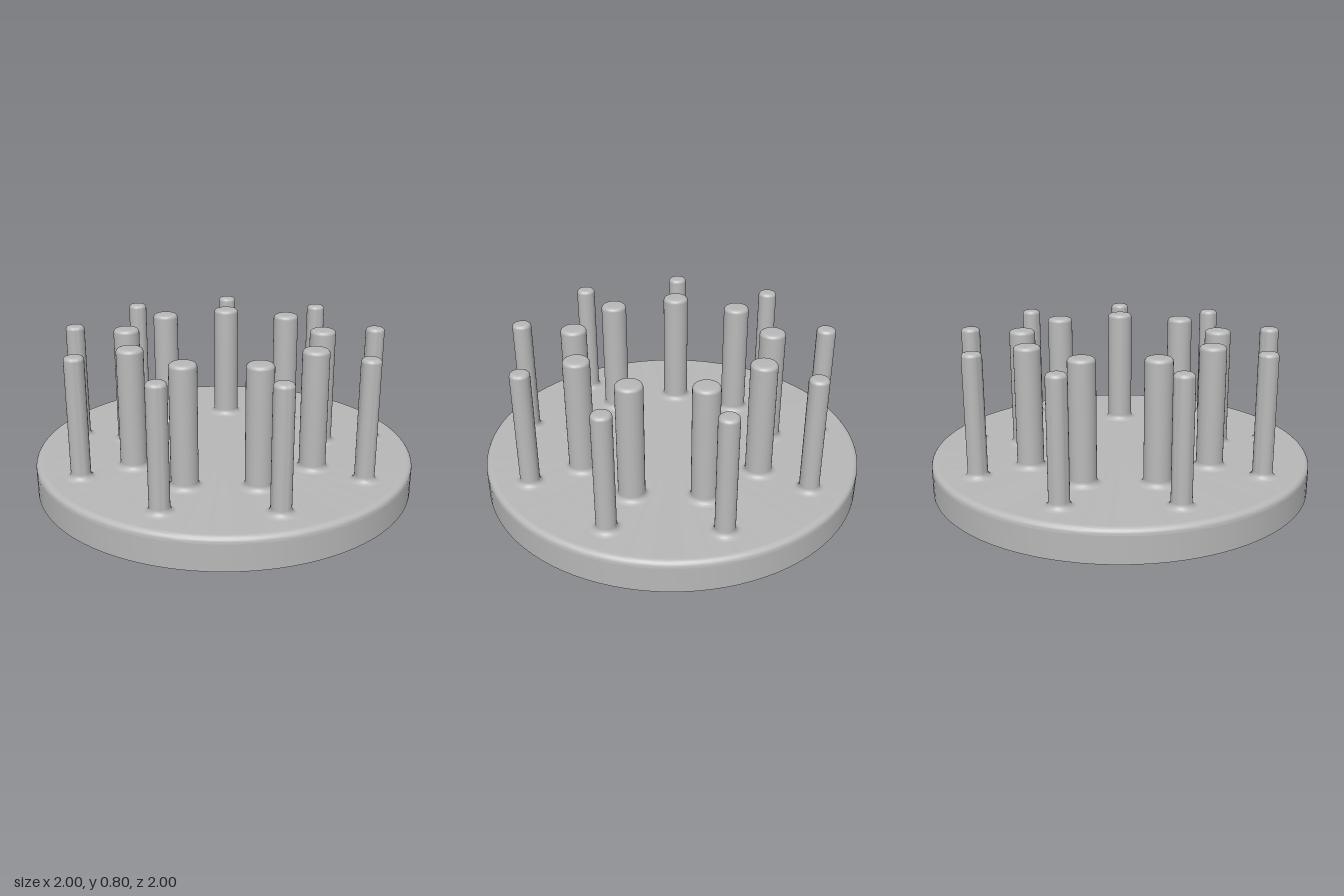
import * as THREE from 'three';
import { toCreasedNormals } from 'three/addons/utils/BufferGeometryUtils.js';

const BASE_H = 0.17, TOP = 0.8, PINS = 9;

// Points of a quarter-round (cx, cy: arc centre), from angle a0 to a1 in degrees
function arc(cx, cy, r, a0, a1, steps = 6) {
  const pts = [];
  for (let i = 0; i <= steps; i++) {
    const a = THREE.MathUtils.degToRad(a0 + ((a1 - a0) * i) / steps);
    pts.push(new THREE.Vector2(cx + r * Math.cos(a), cy + r * Math.sin(a)));
  }
  return pts;
}

const p = (x, y) => new THREE.Vector2(x, y);

function turned(points, sides) {
  return toCreasedNormals(new THREE.LatheGeometry(points, sides), Math.PI / 6);
}

// Round pin with a flared foot and a softened top edge
function pinGeometry(r) {
  const foot = 0.03, edge = 0.02;
  return turned([
    ...arc(r + foot, BASE_H + foot, foot, 270, 180),
    p(r, BASE_H + foot + 0.005),
    p(r, TOP - edge - 0.005),
    ...arc(r - edge, TOP - edge, edge, 0, 90),
    p(r - edge - 0.005, TOP),
    p(0, TOP),
  ], 32);
}

export function createModel() {
  const model = new THREE.Group();
  model.name = 'pinDisc';
  const grey = new THREE.MeshStandardMaterial({ color: 0xb8b8b8 });
  grey.name = 'plainGrey';

  // Base disc with a rounded upper rim
  const rim = 0.03;
  const base = new THREE.Mesh(turned([
    p(0, 0),
    p(1, 0),
    p(1, BASE_H - rim - 0.005),
    ...arc(1 - rim, BASE_H - rim, rim, 0, 90),
    p(1 - rim - 0.005, BASE_H),
    p(0, BASE_H),
  ], 96), grey);
  base.name = 'baseDisc';
  model.add(base);

  // Two concentric rings of pins, the first pin of each facing the front
  const rings = [
    { name: 'outerPin', ring: 0.813, r: 0.05 },
    { name: 'innerPin', ring: 0.527, r: 0.068 },
  ];
  for (const { name, ring, r } of rings) {
    const group = new THREE.Group();
    group.name = name + 'Ring';
    const geometry = pinGeometry(r);
    for (let i = 0; i < PINS; i++) {
      const a = (i / PINS) * Math.PI * 2;
      const pin = new THREE.Mesh(geometry, grey);
      pin.name = name + (i + 1);
      pin.position.set(ring * Math.sin(a), 0, ring * Math.cos(a));
      group.add(pin);
    }
    model.add(group);
  }
  return model;
}
